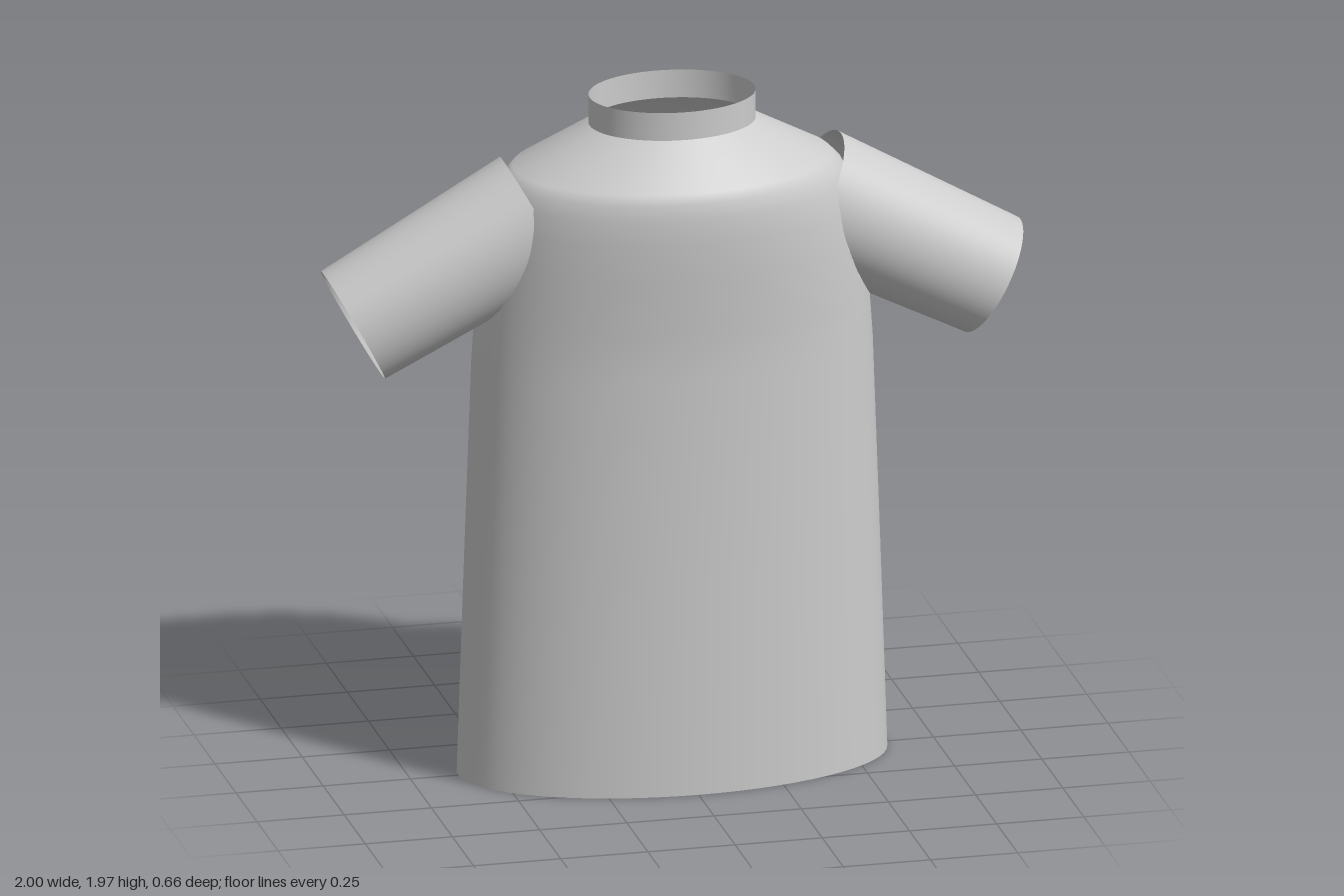
import * as THREE from 'three';

const SEGMENTS = 64;

// Smooth open tube through elliptical rings [y, radiusX, radiusZ], listed bottom to top
function loft(rings) {
  const positions = [], indices = [];
  rings.forEach(([y, rx, rz], r) => {
    for (let i = 0; i < SEGMENTS; i++) {
      const a = (i / SEGMENTS) * Math.PI * 2;
      positions.push(Math.sin(a) * rx, y, Math.cos(a) * rz);
      if (r === 0) continue;
      const next = (i + 1) % SEGMENTS;
      const low = (r - 1) * SEGMENTS, high = r * SEGMENTS;
      indices.push(low + i, low + next, high + next, low + i, high + next, high + i);
    }
  });
  const geometry = new THREE.BufferGeometry();
  geometry.setAttribute('position', new THREE.Float32BufferAttribute(positions, 3));
  geometry.setIndex(indices);
  geometry.computeVertexNormals();
  return geometry;
}

export function createModel() {
  const group = new THREE.Group();
  group.name = 'shirt';

  const fabric = new THREE.MeshStandardMaterial({ color: 0xcccccc, side: THREE.DoubleSide });
  fabric.name = 'grey fabric';

  const add = (name, geometry) => {
    const mesh = new THREE.Mesh(geometry, fabric);
    mesh.name = name;
    group.add(mesh);
    return mesh;
  };

  // Torso with sloping shoulders, open at hem and neck
  add('torso', loft([
    [0, 0.613, 0.318],
    [0.6, 0.593, 0.312],
    [1.22, 0.571, 0.305],
    [1.36, 0.561, 0.313],
    [1.52, 0.544, 0.325],
    [1.63, 0.522, 0.331],
    [1.7, 0.503, 0.329],
    [1.745, 0.48, 0.322],
    [1.773, 0.452, 0.309],
    [1.888, 0.236, 0.18],
  ]));

  // Upright collar band
  add('collar', loft([[1.888, 0.236, 0.18], [1.97, 0.236, 0.18]]));

  // Tapered sleeves, open at both ends
  for (const side of [1, -1]) {
    const inner = new THREE.Vector3(side * 0.393, 1.635, 0);
    const cuff = new THREE.Vector3(side * 0.915, 1.355, 0);
    const axis = cuff.clone().sub(inner);
    const sleeve = add(side > 0 ? 'leftSleeve' : 'rightSleeve', loft([
      [0, 0.194, 0.178],
      [axis.length(), 0.177, 0.161],
    ]));
    sleeve.position.copy(inner);
    sleeve.quaternion.setFromUnitVectors(new THREE.Vector3(0, 1, 0), axis.normalize());
  }

  return group;
}
